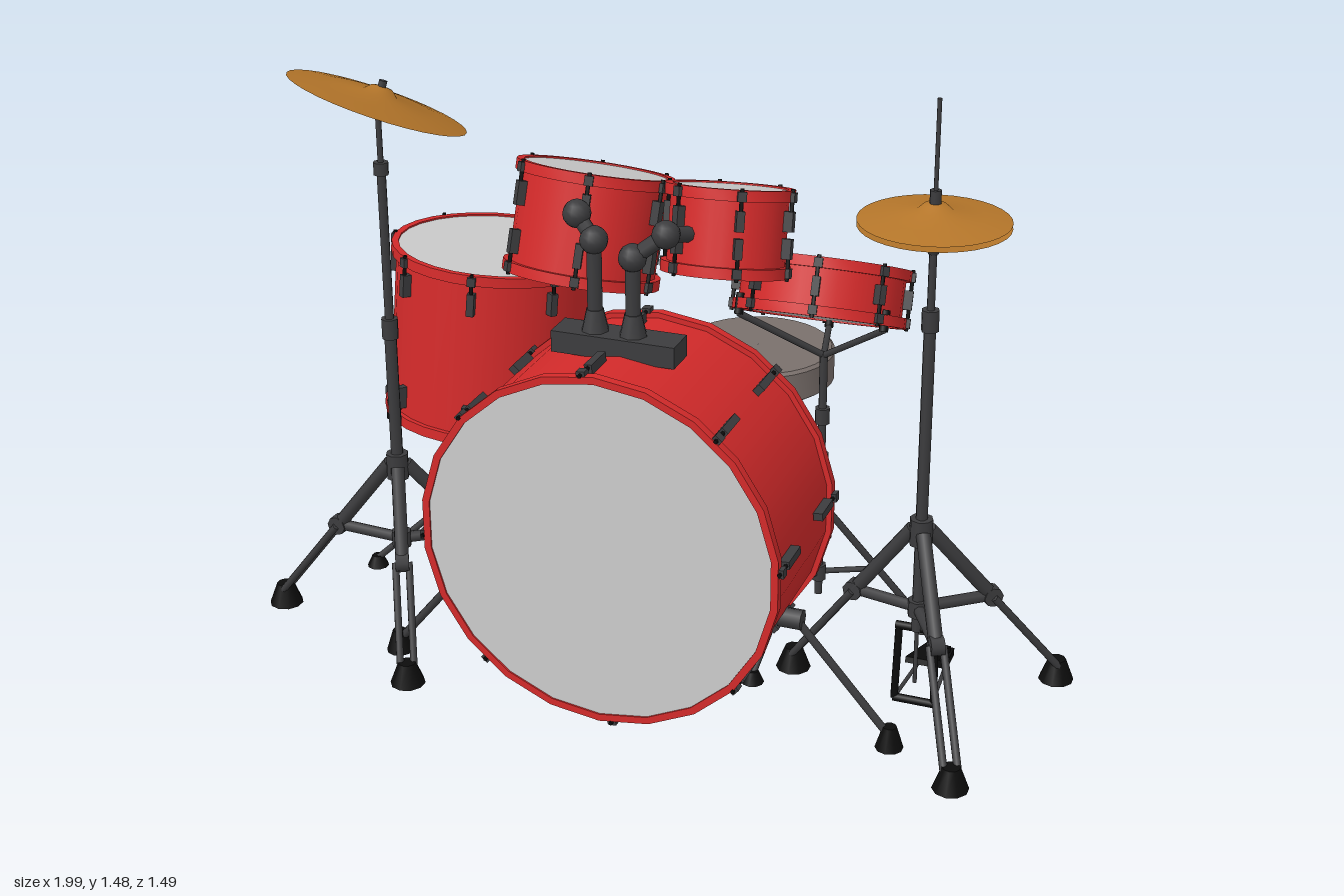
import * as THREE from 'three';
import { toCreasedNormals } from 'three/addons/utils/BufferGeometryUtils.js';

const mat = (color, side = THREE.FrontSide) => new THREE.MeshStandardMaterial({ color, side });
const RED = mat(0xd32a2a), HEAD = mat(0xcccccc), METAL = mat(0x3c3c3e), BLACK = mat(0x0c0c0c);
const BRASS = mat(0xb5762a, THREE.DoubleSide), PAD = mat(0x7a706c);
const V = (x, y, z) => new THREE.Vector3(x, y, z);
const Y = V(0, 1, 0);

function add(parent, name, geo, material, x = 0, y = 0, z = 0) {
  const m = new THREE.Mesh(geo, material);
  m.name = name;
  m.position.set(x, y, z);
  parent.add(m);
  return m;
}

function group(parent, name) {
  const g = new THREE.Group();
  g.name = name;
  parent.add(g);
  return g;
}

// Round bar between two points
function bar(parent, name, a, b, r, material = METAL, r2 = r, sides = 8) {
  const d = b.clone().sub(a);
  const m = add(parent, name, new THREE.CylinderGeometry(r2, r, d.length(), sides), material);
  m.position.copy(a).addScaledVector(d, 0.5);
  m.quaternion.setFromUnitVectors(Y, d.normalize());
  return m;
}

const box = (parent, name, w, h, d, material, x, y, z) =>
  add(parent, name, new THREE.BoxGeometry(w, h, d), material, x, y, z);

// Drum hanging down its own -y from the centre of the top head
function drum(parent, name, { r, h, top, up, lugs, spin = 0, sides = 28, lug = 0.055, hoop = 0.025 }) {
  const g = group(parent, name);
  g.position.copy(top);
  g.quaternion.setFromUnitVectors(Y, up.normalize());
  const inner = r - 0.013;
  add(g, 'shell', new THREE.CylinderGeometry(inner, inner, h - 0.02, sides, 1, true), RED, 0, -h / 2, 0);
  const ring = [[inner - 0.004, 0], [r, 0], [r, hoop], [inner - 0.004, hoop], [inner - 0.004, 0]]
    .map(p => new THREE.Vector2(...p));
  const ringGeo = toCreasedNormals(new THREE.LatheGeometry(ring, sides), 0.6);
  for (const s of [0, 1]) {
    add(g, 'hoop', ringGeo, RED, 0, s ? -h : -hoop, 0);
    add(g, 'head', new THREE.CylinderGeometry(inner, inner, 0.008, sides), HEAD, 0, s ? -h + 0.008 : -0.008, 0);
  }
  // Lugs with tension rods at both ends
  for (let i = 0; i < lugs; i++) {
    const spoke = group(g, 'tensionLug');
    spoke.rotation.y = spin + (i / lugs) * Math.PI * 2;
    for (const s of [1, -1]) {
      const end = s > 0 ? 0 : -h;
      box(spoke, 'lug', 0.018, lug, 0.022, METAL, 0, end - s * (0.045 + lug / 2), inner + 0.009);
      bar(spoke, 'rod', V(0, end - s * 0.05, r), V(0, end + s * 0.004, r), 0.005, BLACK, 0.005, 5);
      box(spoke, 'claw', 0.02, 0.022, 0.012, METAL, 0, end - s * 0.014, r + 0.002);
    }
  }
  return g;
}

// Tripod: braced legs, the heavy kind splitting into twin bars above the feet
function tripod(parent, c, feet, hubY, braceY, r, heavy) {
  const hub = V(c.x, hubY, c.z);
  bar(parent, 'hubCollar', V(c.x, hubY - 0.035, c.z), V(c.x, hubY + 0.03, c.z), r * 1.7);
  bar(parent, 'braceCollar', V(c.x, braceY - 0.02, c.z), V(c.x, braceY + 0.02, c.z), r * 1.5);
  for (const [x, z] of feet) {
    const leg = group(parent, 'leg');
    const footH = heavy ? 0.055 : 0.03, foot = V(x, footH * 0.7, z);
    const out = V(x - c.x, 0, z - c.z).normalize();
    const side = V(-out.z, 0, out.x).multiplyScalar(0.016);
    const start = hub.clone().addScaledVector(out, r * 1.3);
    const mid = start.clone().lerp(foot, (hubY - braceY) / (hubY - foot.y));
    if (heavy) {
      bar(leg, 'upperLeg', start, mid, 0.017);
      bar(leg, 'knee', mid.clone().sub(side), mid.clone().add(side), 0.024);
      for (const s of [-1, 1]) {
        const off = side.clone().multiplyScalar(s);
        bar(leg, 'lowerLeg', mid.clone().add(off), foot.clone().add(off), 0.009);
      }
    } else bar(leg, 'legBar', start, foot, 0.009);
    bar(leg, 'brace', V(c.x, braceY, c.z), mid, heavy ? 0.014 : 0.007);
    const fr = heavy ? 0.042 : 0.028;
    add(leg, 'rubberFoot', new THREE.CylinderGeometry(fr * 0.5, fr, footH, 10), BLACK, x, footH / 2, z);
  }
}

// Domed cymbal, centred on its rim
function cymbal(parent, name, r, rise, pos, up) {
  const pts = [[0.001, rise + 0.018], [0.025, rise + 0.014], [0.04, rise], [r * 0.65, rise * 0.5], [r, 0]]
    .map(p => new THREE.Vector2(...p));
  const m = add(parent, name, new THREE.LatheGeometry(pts, 32), BRASS);
  m.position.copy(pos);
  m.quaternion.setFromUnitVectors(Y, up.normalize());
  return m;
}

// Three arms gripping the underside of a drum
function basket(parent, from, center, up, r) {
  const q = new THREE.Quaternion().setFromUnitVectors(Y, up.clone().normalize());
  for (let i = 0; i < 3; i++) {
    const a = i * Math.PI * 2 / 3 + 0.4;
    const at = y => V(Math.cos(a) * r, y, Math.sin(a) * r).applyQuaternion(q).add(center);
    bar(parent, 'basketArm', from, at(-0.012), 0.008);
    bar(parent, 'basketGrip', at(-0.015), at(0.035), 0.011, BLACK);
  }
}

export function createModel() {
  const kit = new THREE.Group();
  kit.name = 'drumKit';

  // Drums
  drum(kit, 'bassDrum', { r: 0.425, h: 0.41, top: V(0.043, 0.49, 0.742), up: V(0, 0, 1), lugs: 8, spin: 0.07, sides: 22, lug: 0.08, hoop: 0.022 });
  const floorUp = V(0.06, 1, -0.07), snareUp = V(-0.02, 1, -0.45);
  drum(kit, 'floorTom', { r: 0.26, h: 0.435, top: V(-0.5, 0.905, 0.052), up: floorUp, lugs: 8, spin: 0.2 });
  drum(kit, 'largeRackTom', { r: 0.182, h: 0.255, top: V(-0.134, 1.218, 0.283), up: V(0.06, 1, -0.28), lugs: 6, spin: 0.3 });
  drum(kit, 'smallRackTom', { r: 0.145, h: 0.195, top: V(0.205, 1.23, 0.326), up: V(-0.03, 1, -0.28), lugs: 6, spin: 0.5, lug: 0.045 });
  drum(kit, 'snareDrum', { r: 0.205, h: 0.135, top: V(0.347, 0.975, 0.06), up: snareUp, lugs: 8, spin: 0.2, lug: 0.035 });

  // Bass drum spurs
  for (const s of [-1, 1]) {
    const spur = group(kit, 'bassSpur'), x = d => 0.043 + s * d;
    bar(spur, 'bracket', V(x(0.36), 0.3, 0.54), V(x(0.415), 0.3, 0.54), 0.024);
    bar(spur, 'spurLeg', V(x(0.39), 0.31, 0.54), V(x(0.61), 0.04, 0.52), 0.01);
    add(spur, 'spurFoot', new THREE.CylinderGeometry(0.016, 0.033, 0.055, 10), BLACK, x(0.62), 0.0275, 0.52);
  }

  // Tom mount: a base block with two jointed arms
  const mount = group(kit, 'tomMount');
  box(mount, 'base', 0.29, 0.05, 0.08, METAL, 0.025, 0.915, 0.55);
  for (const p of [
    [V(-0.03, 0.93, 0.55), V(-0.03, 1.15, 0.55), V(-0.075, 1.2, 0.535), V(-0.11, 1.15, 0.45)],
    [V(0.06, 0.93, 0.55), V(0.06, 1.12, 0.55), V(0.13, 1.175, 0.53), V(0.18, 1.15, 0.43)],
  ]) {
    bar(mount, 'postSocket', p[0], p[0].clone().setY(0.99), 0.034, METAL, 0.02);
    for (let i = 0; i < 3; i++) bar(mount, 'arm', p[i], p[i + 1], 0.018);
    for (const j of [1, 2]) add(mount, 'joint', new THREE.SphereGeometry(0.032, 12, 8), METAL, ...p[j].toArray());
  }

  // Crash cymbal and stand
  const crash = group(kit, 'crashStand'), cc = V(-0.604, 0, 0.433);
  tripod(crash, cc, [[-0.957, 0.41], [-0.49, 0.65], [-0.315, 0.22]], 0.46, 0.26, 0.016, true);
  bar(crash, 'lowerPole', V(cc.x, 0.2, cc.z), V(cc.x, 0.82, cc.z), 0.015);
  bar(crash, 'upperPole', V(cc.x, 0.8, cc.z), V(cc.x, 1.22, cc.z), 0.011);
  bar(crash, 'poleClamp', V(cc.x, 0.79, cc.z), V(cc.x, 0.84, cc.z), 0.02);
  bar(crash, 'tilter', V(cc.x, 1.195, cc.z), V(cc.x, 1.225, cc.z), 0.018);
  bar(crash, 'cymbalRod', V(cc.x, 1.2, cc.z), V(cc.x, 1.36, cc.z), 0.007);
  bar(crash, 'wingNut', V(cc.x, 1.36, cc.z), V(cc.x + 0.012, 1.415, cc.z - 0.012), 0.01);
  cymbal(crash, 'crashCymbal', 0.212, 0.022, V(cc.x, 1.365, cc.z), V(0.28, 1, -0.28));

  // Hi-hat cymbals, stand and pedal
  const hat = group(kit, 'hiHatStand'), hc = V(0.668, 0, 0.325);
  tripod(hat, hc, [[0.957, 0.096], [0.834, 0.63], [0.35, 0.26]], 0.46, 0.26, 0.016, true);
  bar(hat, 'pole', V(hc.x, 0.2, hc.z), V(hc.x, 1.0, hc.z), 0.014);
  bar(hat, 'poleClamp', V(hc.x, 0.95, hc.z), V(hc.x, 1.0, hc.z), 0.02);
  bar(hat, 'innerTube', V(hc.x, 1.0, hc.z), V(hc.x, 1.15, hc.z), 0.009);
  bar(hat, 'cymbalSeat', V(hc.x, 1.13, hc.z), V(hc.x, 1.165, hc.z), 0.012, METAL, 0.026);
  bar(hat, 'pullRod', V(hc.x, 0.06, hc.z), V(hc.x, 1.478, hc.z), 0.005);
  bar(hat, 'clutch', V(hc.x, 1.235, hc.z), V(hc.x, 1.275, hc.z), 0.013);
  cymbal(hat, 'topCymbal', 0.168, 0.022, V(hc.x, 1.207, hc.z), V(0, 1, 0));
  cymbal(hat, 'bottomCymbal', 0.168, 0.022, V(hc.x, 1.195, hc.z), V(0, -1, 0));
  for (const s of [-1, 1]) {
    bar(hat, 'pedalFrame', V(hc.x + s * 0.048, 0.01, hc.z), V(hc.x + s * 0.042, 0.205, hc.z), 0.009, BLACK);
    bar(hat, 'pedalStay', V(hc.x + s * 0.045, 0.015, hc.z), V(hc.x + s * 0.03, 0.012, 0.12), 0.005);
  }
  for (const y of [0.01, 0.205])
    bar(hat, 'frameCrossbar', V(hc.x - 0.05, y, hc.z), V(hc.x + 0.05, y, hc.z), 0.01, BLACK);
  const hatBoard = box(hat, 'footboard', 0.06, 0.014, 0.22, BLACK, hc.x, 0.065, 0.2);
  hatBoard.rotation.x = -0.35;
  box(hat, 'heelPlate', 0.07, 0.02, 0.07, BLACK, hc.x, 0.012, 0.115);

  // Snare and floor tom stands
  const snare = group(kit, 'snareStand'), sc = V(0.36, 0, 0.1);
  tripod(snare, sc, [[0.214, -0.15], [0.6, -0.016], [0.28, 0.36]], 0.35, 0.18, 0.012, false);
  bar(snare, 'post', V(sc.x, 0.12, sc.z), V(sc.x, 0.76, sc.z), 0.01);
  for (const y of [0.46, 0.58]) bar(snare, 'clamp', V(sc.x, y, sc.z), V(sc.x, y + 0.04, sc.z), 0.018);
  basket(snare, V(sc.x, 0.755, sc.z), V(0.347, 0.853, 0.115), snareUp, 0.195);
  const floor = group(kit, 'floorTomStand'), fc = V(-0.525, 0, 0.09);
  tripod(floor, fc, [[-0.83, 0.155], [-0.45, -0.19], [-0.3, 0.3]], 0.29, 0.16, 0.012, false);
  bar(floor, 'post', V(fc.x, 0.1, fc.z), V(fc.x, 0.44, fc.z), 0.011);
  basket(floor, V(fc.x, 0.43, fc.z), V(-0.525, 0.468, 0.082), floorUp, 0.25);

  // Bass pedal with beater
  const pedal = group(kit, 'bassPedal');
  box(pedal, 'heelPlate', 0.075, 0.022, 0.09, BLACK, 0.005, 0.015, -0.065);
  const board = box(pedal, 'footboard', 0.07, 0.014, 0.25, BLACK, 0.005, 0.07, 0.085);
  board.rotation.x = -0.36;
  box(pedal, 'basePlate', 0.05, 0.01, 0.32, BLACK, 0.005, 0.007, 0.1);
  box(pedal, 'frontPlate', 0.24, 0.02, 0.05, BLACK, 0.02, 0.015, 0.225);
  for (const x of [-0.045, 0.055]) bar(pedal, 'upright', V(x, 0.01, 0.225), V(x, 0.2, 0.225), 0.01, BLACK);
  bar(pedal, 'axle', V(-0.055, 0.2, 0.225), V(0.065, 0.2, 0.225), 0.013, BLACK);
  bar(pedal, 'driveLink', V(0.005, 0.11, 0.2), V(0.005, 0.21, 0.215), 0.008, BLACK);
  bar(pedal, 'beaterShaft', V(0.005, 0.19, 0.225), V(0.005, 0.41, 0.118), 0.007);
  bar(pedal, 'beater', V(0.005, 0.44, 0.145), V(0.005, 0.405, 0.075), 0.036, BLACK, 0.03, 14);

  // Throne
  const throne = group(kit, 'throne'), tc = V(0, 0, -0.475);
  const seat = [[0.001, 0.405], [0.195, 0.405], [0.205, 0.412], [0.205, 0.488], [0.197, 0.496], [0.001, 0.496]]
    .map(p => new THREE.Vector2(...p));
  add(throne, 'seat', toCreasedNormals(new THREE.LatheGeometry(seat, 32), 0.5), PAD, 0, 0, -0.487);
  tripod(throne, tc, [[0.035, -0.715], [-0.23, -0.36], [0.215, -0.4]], 0.15, 0.08, 0.011, false);
  bar(throne, 'post', V(0, 0.06, tc.z), V(0, 0.385, tc.z), 0.01);
  bar(throne, 'postSleeve', V(0, 0.3, tc.z), V(0, 0.34, tc.z), 0.016);
  for (const a of [0.6, 2.17, 3.74, 5.31])
    bar(throne, 'seatBracket', V(0, 0.372, tc.z), V(Math.cos(a) * 0.14, 0.402, tc.z + Math.sin(a) * 0.14), 0.008);

  return kit;
}
